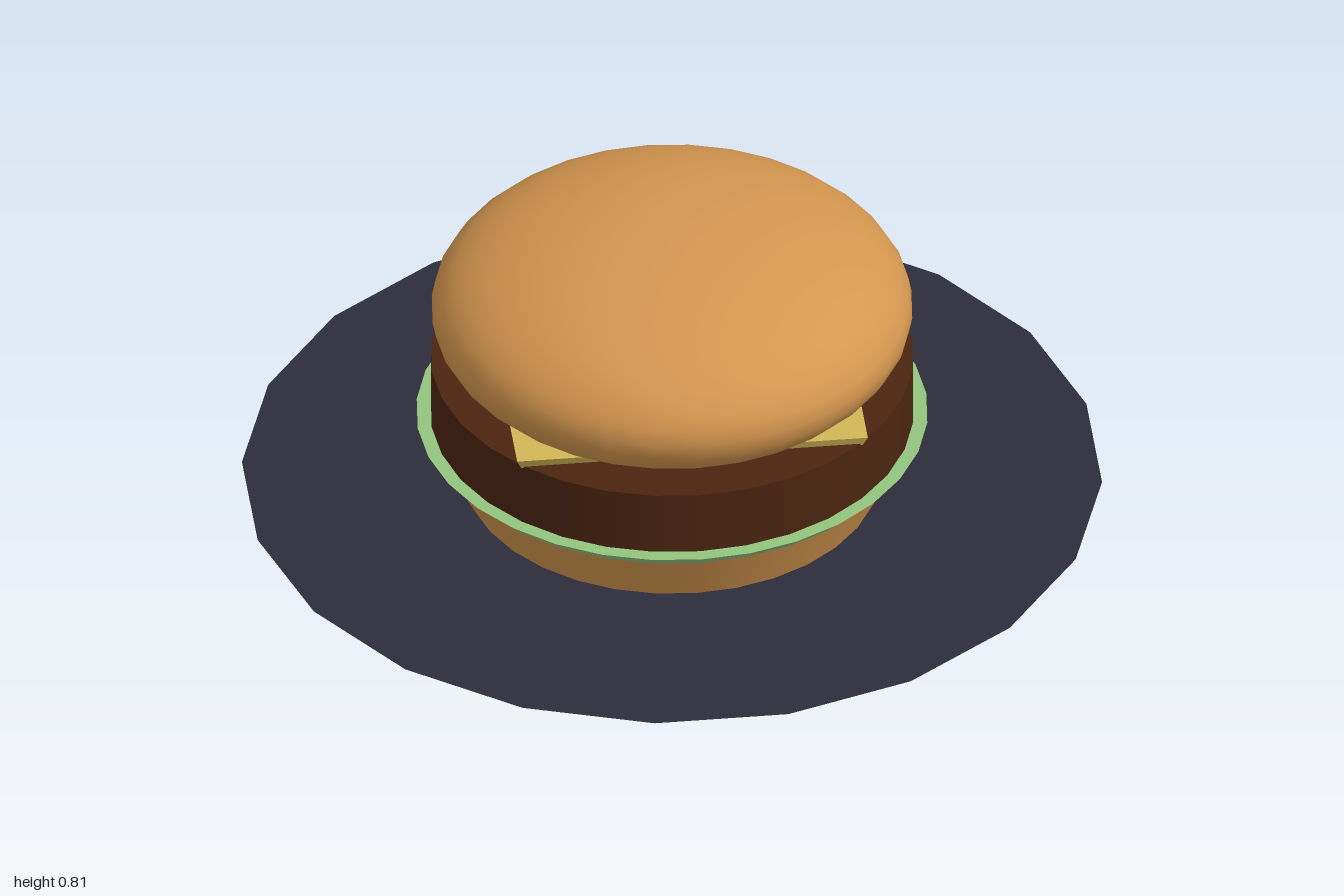
import * as THREE from 'three';

const material = (name, color) => {
  const m = new THREE.MeshStandardMaterial({ color });
  m.name = name;
  return m;
};

export function createModel() {
  const group = new THREE.Group();
  group.name = 'burgerOnPlate';

  const bun = material('toasted bun', 0xd4964f);
  const plateGrey = material('dark plate', 0x2e2c3b);
  const green = material('lettuce green', 0x93c47d);
  const brown = material('grilled brown', 0x4a2410);
  const yellow = material('cheese yellow', 0xd2b656);

  // Round or square layer between two heights
  const layer = (name, mat, rTop, rBottom, y0, y1, sides) => {
    const mesh = new THREE.Mesh(new THREE.CylinderGeometry(rTop, rBottom, y1 - y0, sides), mat);
    mesh.name = name;
    mesh.position.y = (y0 + y1) / 2;
    group.add(mesh);
  };

  layer('plate', plateGrey, 1, 0.8, 0, 0.1, 20);
  layer('bottomBun', bun, 0.555, 0.475, 0.08, 0.245, 32);
  layer('lettuce', green, 0.595, 0.56, 0.24, 0.275, 32);
  layer('patty', brown, 0.562, 0.562, 0.26, 0.435, 32);
  // Cheese slice with its corners on the axes
  layer('cheese', yellow, 0.58, 0.565, 0.43, 0.457, 4);

  // Flattened dome
  const top = new THREE.Mesh(new THREE.SphereGeometry(0.56, 32, 20), bun);
  top.name = 'topBun';
  top.scale.y = 0.415;
  top.position.y = 0.573;
  group.add(top);

  return group;
}
